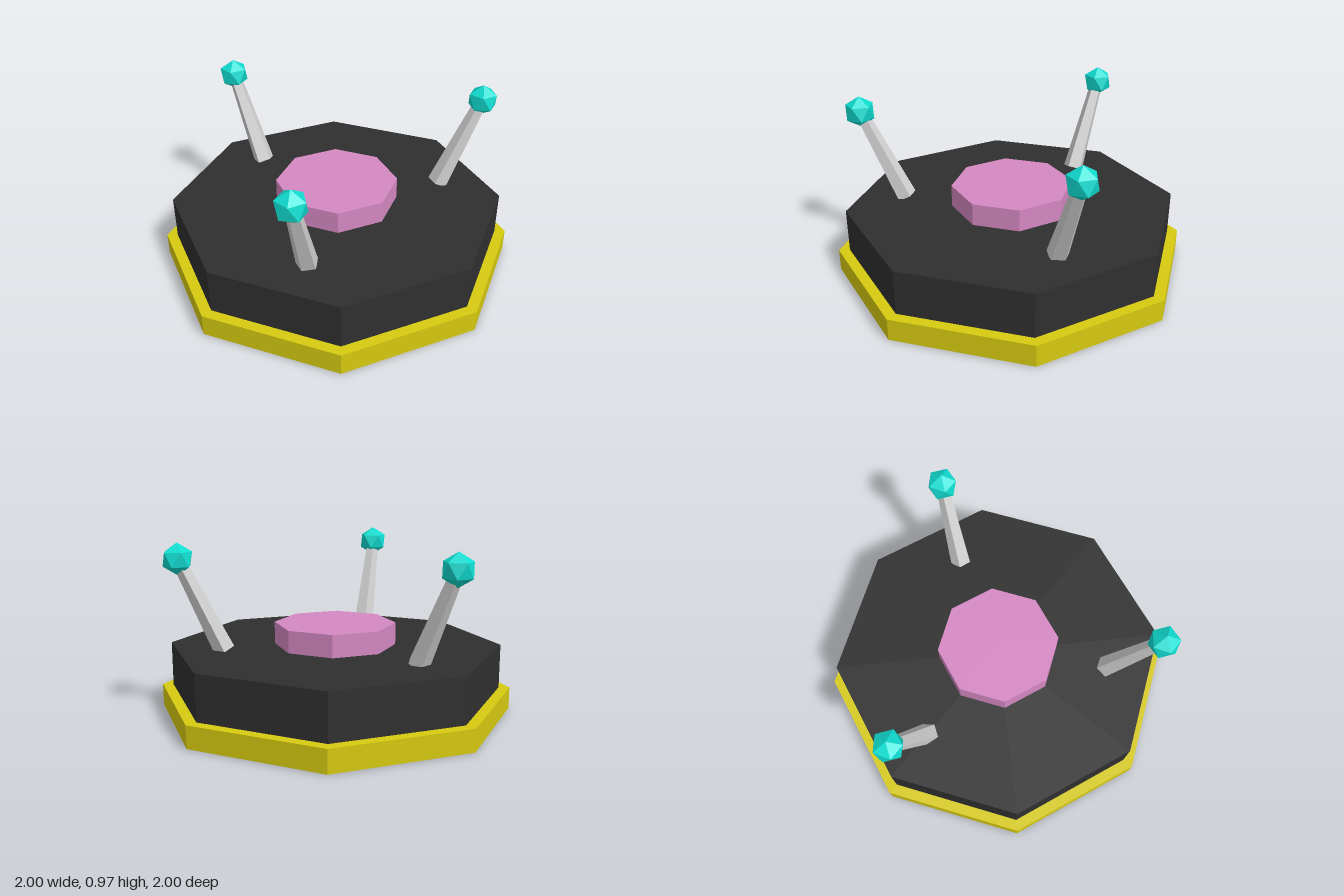
import * as THREE from 'three';

const flat = (name, color) => {
  const m = new THREE.MeshStandardMaterial({ color, flatShading: true });
  m.name = name;
  return m;
};

export function createModel() {
  const yellow = flat('yellow', 0xd6ca10);
  const black = flat('black', 0x2f2f2f);
  const pink = flat('pink', 0xd488c2);
  const grey = flat('grey', 0xcfcfcf);
  const teal = flat('teal', 0x10dcd0);

  const model = new THREE.Group();
  model.name = 'padWithAntennae';

  const add = (name, geometry, material, parent = model) => {
    const mesh = new THREE.Mesh(geometry, material);
    mesh.name = name;
    parent.add(mesh);
    return mesh;
  };

  // Stacked octagonal discs, corners on the axes
  const disc = (name, radius, y0, y1, material) => {
    const geometry = new THREE.CylinderGeometry(radius, radius, y1 - y0, 8);
    add(name, geometry.translate(0, (y0 + y1) / 2, 0), material);
  };
  disc('baseRim', 1, 0.002, 0.125, yellow);
  disc('body', 0.938, 0, 0.375, black);
  disc('centrePlate', 0.343, 0.375, 0.5, pink);

  // Three outward-leaning antennae: one at the back, two towards the front
  const up = new THREE.Vector3(0, 1, 0);
  const ballGeometry = new THREE.IcosahedronGeometry(0.088, 0);
  ballGeometry.rotateZ(-Math.atan(2 / (1 + Math.sqrt(5)))); // one corner straight up
  const names = ['backAntenna', 'leftAntenna', 'rightAntenna'];
  [Math.PI, Math.PI / 3, -Math.PI / 3].forEach((angle, i) => {
    const antenna = new THREE.Group();
    antenna.name = names[i];
    model.add(antenna);

    const at = (r, y) => new THREE.Vector3(r * Math.sin(angle), y, r * Math.cos(angle));
    const foot = at(0.625, 0.375);
    const tip = at(0.86, 0.882);
    const axis = tip.clone().sub(foot);

    const stem = add('stem', new THREE.CylinderGeometry(0.037, 0.061, axis.length(), 5), grey, antenna);
    stem.position.copy(foot).lerp(tip, 0.5);
    stem.quaternion.setFromUnitVectors(up, axis.normalize());

    add('ball', ballGeometry, teal, antenna).position.copy(tip);
  });

  return model;
}
